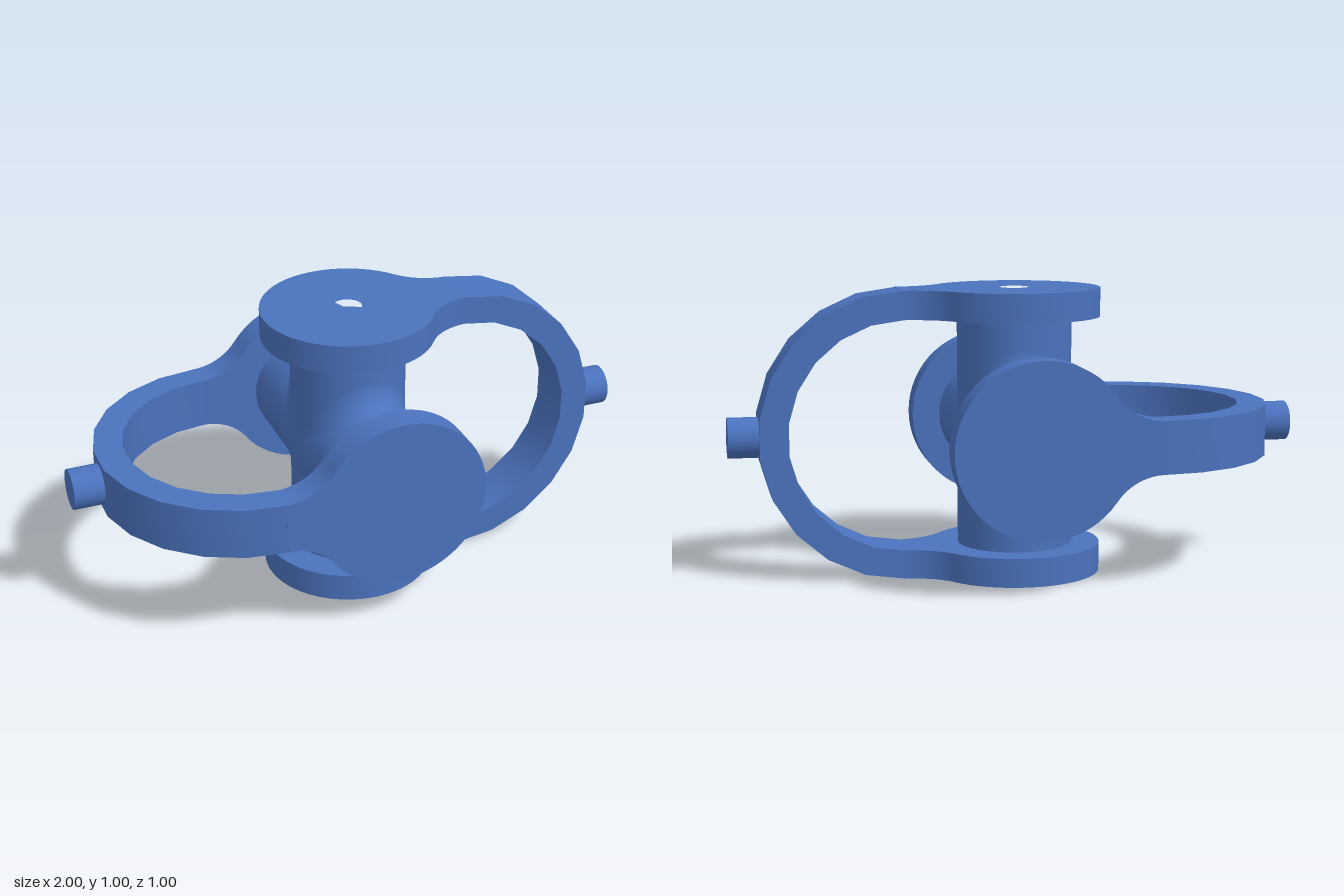
import * as THREE from 'three';
import { toCreasedNormals } from 'three/addons/utils/BufferGeometryUtils.js';
import { ParametricGeometry } from 'three/addons/geometries/ParametricGeometry.js';

const blue = new THREE.MeshStandardMaterial({ color: 0x4a72bd });
const blueThin = new THREE.MeshStandardMaterial({ color: 0x4a72bd, side: THREE.DoubleSide });

function add(parent, name, geometry, material = blue) {
  const mesh = new THREE.Mesh(geometry, material);
  mesh.name = name;
  parent.add(mesh);
  return mesh;
}

// Round bearing pad that narrows through concave fillets into the arm strip
function padGeometry() {
  const R = 0.3, r = 0.2, half = 0.09;
  const cy = half + r, cx = Math.sqrt((R + r) ** 2 - cy ** 2), a = Math.atan2(cy, cx);
  const shape = new THREE.Shape();
  shape.moveTo(cx, -half);
  shape.absarc(cx, -cy, r, Math.PI / 2, Math.PI - a, false);
  shape.absarc(0, 0, R, -a, a, true);
  shape.absarc(cx, cy, r, Math.PI + a, Math.PI * 1.5, false);
  shape.closePath();
  const hole = new THREE.Path();
  hole.absarc(0, 0, 0.05, 0, Math.PI * 2, true);
  shape.holes.push(hole);
  const g = new THREE.ExtrudeGeometry(shape, { depth: 0.1, bevelEnabled: false, curveSegments: 24 });
  g.rotateX(-Math.PI / 2);
  return toCreasedNormals(g, 0.6);
}

// Half-ring that joins the two pads
function bowGeometry() {
  const n = 11, outer = [], inner = [];
  for (let i = 0; i <= n; i++) {
    const t = -Math.PI / 2 + (Math.PI * i) / n;
    outer.push(new THREE.Vector2(0.4 + 0.5 * Math.cos(t), 0.5 * Math.sin(t)));
    inner.unshift(new THREE.Vector2(0.4 + 0.4 * Math.cos(t), 0.4 * Math.sin(t)));
  }
  const g = new THREE.ExtrudeGeometry(new THREE.Shape([...outer, ...inner]), { depth: 0.18, bevelEnabled: false });
  g.translate(0, 0, -0.09);
  return toCreasedNormals(g, 0.6);
}

// Fork: two pads, the bow and a short shaft stub, opening towards -x
function createYoke(name) {
  const yoke = new THREE.Group();
  yoke.name = name;
  const pad = padGeometry();
  add(yoke, 'upperPad', pad).position.y = 0.4;
  add(yoke, 'lowerPad', pad).position.y = -0.5;
  add(yoke, 'bow', bowGeometry());
  const stub = add(yoke, 'shaftStub', new THREE.CylinderGeometry(0.07, 0.07, 0.14, 32));
  stub.rotation.z = -Math.PI / 2;
  stub.position.x = 0.93;
  return yoke;
}

// Rolling-ball blend between two crossing cylinders (radius 0.2, ball 0.1)
function blendPoint(u, v, target) {
  const t = (u - 0.5) * Math.PI * 0.98;
  const c = Math.cos(t), s = Math.sin(t);
  const p = (v * Math.PI) / 2;
  target.set(-s, -c * Math.cos(p), -c * Math.sin(p)).normalize().multiplyScalar(0.1);
  target.x += 0.3 * s;
  target.y += 0.3 * c;
  target.z += 0.3 * c;
}

function createCross() {
  const cross = new THREE.Group();
  cross.name = 'cross';
  const trunnion = new THREE.CylinderGeometry(0.2, 0.2, 0.8, 64);
  add(cross, 'verticalTrunnion', trunnion);
  add(cross, 'horizontalTrunnion', trunnion).rotation.x = Math.PI / 2;
  const blend = new ParametricGeometry(blendPoint, 40, 12);
  for (let i = 0; i < 4; i++) {
    add(cross, 'blend' + (i + 1), blend, blueThin).rotation.x = (i * Math.PI) / 2;
  }
  return cross;
}

export function createModel() {
  const model = new THREE.Group();
  model.name = 'universalJoint';
  const joint = new THREE.Group();
  joint.name = 'joint';
  joint.position.y = 0.5;
  model.add(joint);

  joint.add(createCross());
  joint.add(createYoke('leftYoke'));

  // Second fork faces the other way, a quarter turn about the shaft axis
  const right = createYoke('rightYoke');
  right.rotation.set(Math.PI / 2, Math.PI, 0);
  joint.add(right);
  return model;
}
